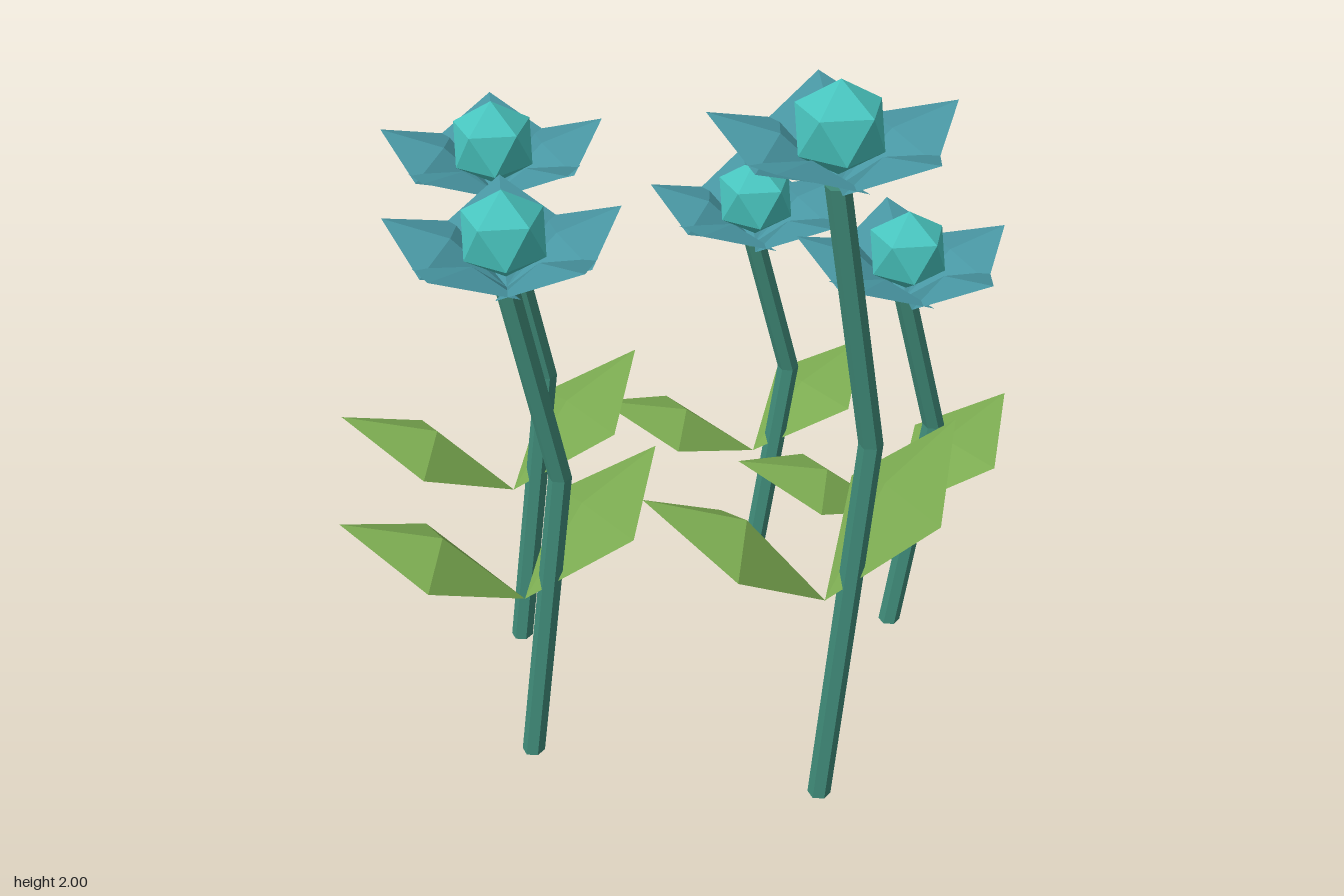
import * as THREE from 'three';

const paint = (color) =>
  new THREE.MeshStandardMaterial({ color, flatShading: true, side: THREE.DoubleSide });
const stemMat = paint(0x3f8a78), leafMat = paint(0x7dad52);
const petalMat = paint(0x4896a2), coreMat = paint(0x48c4be);

// Arched diamond blade along +x: base, two side corners, tip and a raised midrib point
function bladeGeometry(length, rise, halfWidth) {
  const base = [0, 0, 0], tip = [length, rise, 0];
  const mid = [0.44 * length, 0.76 * rise, 0];
  const front = [0.535 * length, 0.55 * rise, halfWidth];
  const back = [0.535 * length, 0.55 * rise, -halfWidth];
  const corners = [mid, base, front, mid, front, tip, mid, tip, back, mid, back, base];
  const geo = new THREE.BufferGeometry();
  geo.setAttribute('position', new THREE.Float32BufferAttribute(corners.flat(), 3));
  geo.computeVertexNormals();
  return geo;
}

// Hexagonal stem with a sideways kink at 60% of its height
function stemGeometry(h) {
  const geo = new THREE.CylinderGeometry(0.03, 0.03, h, 6, 2).translate(0, h / 2, 0);
  const pos = geo.attributes.position;
  for (let i = 0; i < pos.count; i++) {
    if (Math.abs(pos.getY(i) - h / 2) < 0.01) pos.setXYZ(i, pos.getX(i) + 0.11, h * 0.6, pos.getZ(i));
  }
  return geo;
}

// Icosahedron standing on a vertex, upper ring pointing to +x
function coreGeometry() {
  const geo = new THREE.IcosahedronGeometry(0.112, 0);
  return geo.rotateZ(Math.atan(2 / (1 + Math.sqrt(5)))).rotateY(Math.PI);
}

function flower(x, z, h) {
  const group = new THREE.Group();
  group.name = 'flower';
  group.position.set(x, 0, z);
  const add = (name, geo, mat, y = 0, turn = 0) => {
    const mesh = new THREE.Mesh(geo, mat);
    mesh.name = name;
    mesh.position.y = y;
    mesh.rotation.y = turn;
    group.add(mesh);
  };
  add('stem', stemGeometry(h), stemMat);

  // Two leaves swept slightly backwards
  const leaf = bladeGeometry(0.444, 0.194 * h, 0.153);
  add('leftLeaf', leaf, leafMat, 0.355 * h, 0.3);
  add('rightLeaf', leaf, leafMat, 0.355 * h, Math.PI - 0.3);

  // Five overlapping petals around the core
  const petal = bladeGeometry(0.294, 0.15, 0.15);
  for (let i = 0; i < 5; i++) add('petal', petal, petalMat, h, (i * Math.PI * 2) / 5);
  add('flowerCore', coreGeometry(), coreMat, h + 0.14);
  return group;
}

export function createModel() {
  const model = new THREE.Group();
  model.name = 'flowerCluster';
  // x, z and stem height of each flower
  const plants = [
    [-0.57, 0.04, 1.405], [-0.425, -0.44, 1.405], [0.045, 0.51, 1.748],
    [0.34, -0.51, 1.065], [0.565, -0.06, 1.065],
  ];
  for (const [x, z, h] of plants) model.add(flower(x, z, h));
  return model;
}
